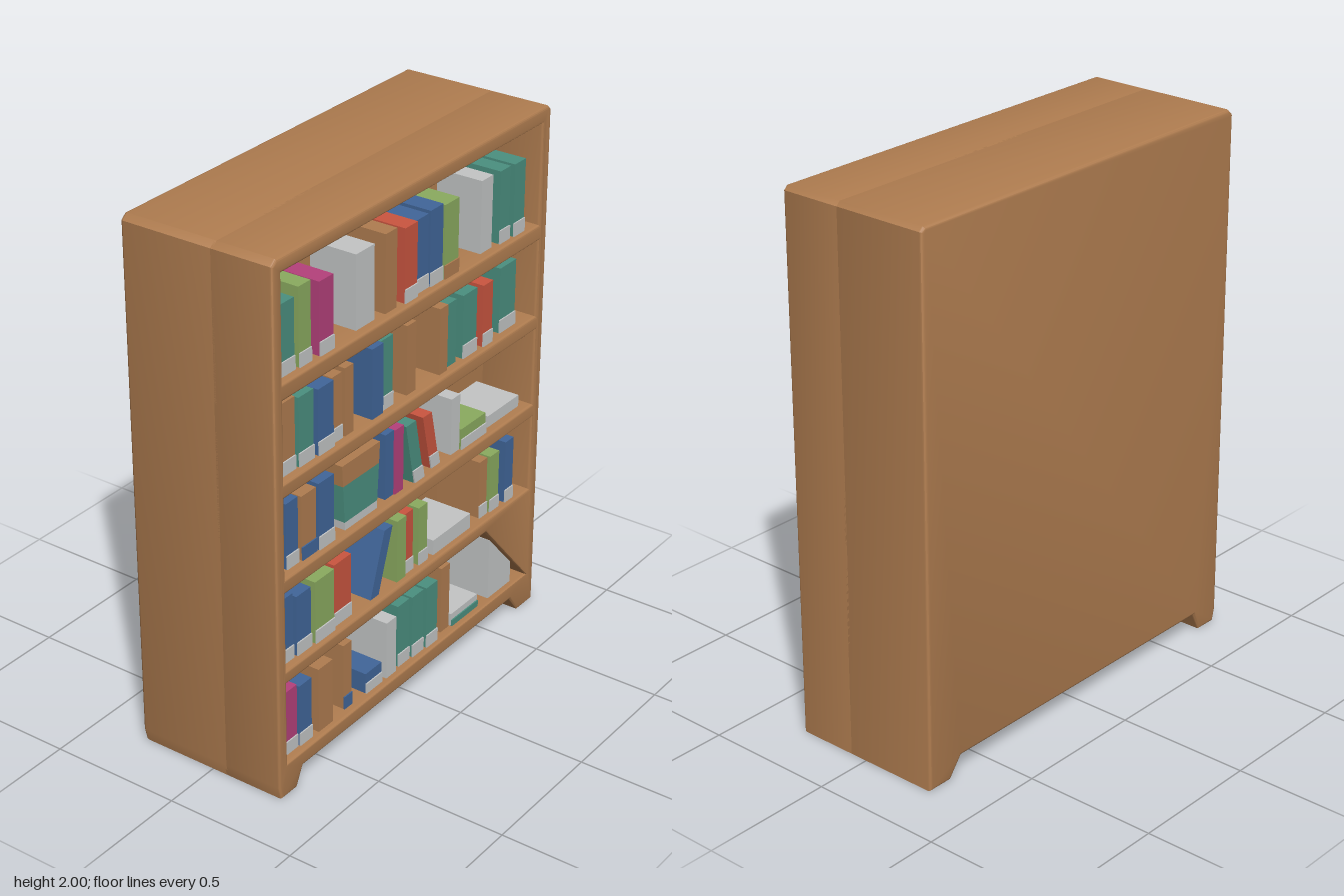
import * as THREE from 'three';
import { toCreasedNormals } from 'three/addons/utils/BufferGeometryUtils.js';

const mat = (name, color) => Object.assign(new THREE.MeshStandardMaterial({ color }), { name });

export function createModel() {
  const group = new THREE.Group();
  group.name = 'bookcase';
  const M = {
    wood: mat('wood', 0xb07d50), teal: mat('teal', 0x4b9080), blue: mat('blue', 0x41669a),
    pink: mat('magenta', 0xb5417c), red: mat('red', 0xcb5640), green: mat('green', 0x8bab60),
    white: mat('pale grey', 0xc4c6c6),
  };

  const polygon = (pts, Type = THREE.Shape) => new Type(pts.map(([u, y]) => new THREE.Vector2(u, y)));

  // Extrudes a shape drawn on the open side (u = -z, y up) from x0 to x1.
  function slab(name, shape, x0, x1, material, bevel = 0) {
    let geo = new THREE.ExtrudeGeometry(shape, {
      depth: x1 - x0 - 2 * bevel, bevelEnabled: bevel > 0, bevelThickness: bevel,
      bevelSize: bevel, bevelOffset: -bevel, bevelSegments: 3,
    });
    geo.translate(0, 0, x0 + bevel);
    geo.rotateY(Math.PI / 2);
    if (bevel) geo = toCreasedNormals(geo, 0.6);
    const mesh = new THREE.Mesh(geo, material);
    mesh.name = name;
    group.add(mesh);
  }

  // Case outline with tapered runner feet along both ends
  const outline = [
    [-0.775, 0.0], [-0.69, 0.0], [-0.655, 0.072], [0.63, 0.072], [0.685, 0.0], [0.785, 0.0],
    [0.785, 1.985], [0.77, 2.0], [-0.765, 2.0], [-0.787, 1.98], [-0.787, 0.05],
  ];
  slab('backBody', polygon(outline), -0.3, 0.08, M.wood, 0.012);

  // Front frame: five openings, the lowest with a slanted corner
  const openings = [[0.13, 0.45], [0.5, 0.8], [0.855, 1.155], [1.21, 1.505], [1.565, 1.945]];
  const frame = polygon(outline);
  openings.forEach(([lo, hi], i) => {
    const corner = i === 0 ? [[0.735, lo], [0.45, hi]] : [[0.735, lo], [0.735, hi]];
    frame.holes.push(polygon([[-0.74, lo], ...corner, [-0.74, hi]], THREE.Path));
  });
  slab('shelfFrame', frame, 0.05, 0.297, M.wood, 0.01);

  // Upright (or leaning) book in hundredths: left, right, height, colour, label colour, lean
  function book(base, [l, r, h, colour, label, lean = 0], depth) {
    const quad = (y0, y1) => polygon([[l, y0], [r, y0], [r, y1], [l, y1]].map(
      ([u, y]) => [(u + (lean * y) / h) / 100, base + y / 100]));
    slab('book', quad(0, h), 0.07, depth, M[colour]);
    if (label) slab('bookLabel', quad(0, Math.min(5, h * 0.5)), depth, depth + 0.005, M[label]);
  }
  const row = (level, books) => books.forEach((b, i) =>
    book(openings[level][0], b, 0.262 + 0.006 * (i % 3)));

  // Top shelf
  row(4, [
    [-73.5, -63.5, 25, 'teal', 'white'], [-62, -55.7, 28, 'green', 'white'],
    [-52, -44.6, 26, 'pink', 'white'], [-30.8, -20.7, 27, 'white'],
    [-15.4, -9, 28.5, 'wood'], [-5.3, 1.8, 27, 'red', 'white'],
    [2.1, 9.8, 26.5, 'blue', 'white'], [10.1, 17.5, 27.5, 'blue', 'white'],
    [17.6, 26, 27, 'green', 'wood'], [41.4, 48.3, 27, 'white'],
    [52, 58.3, 27, 'teal', 'white'], [60, 66.8, 27, 'teal', 'white'],
  ]);
  // Fourth shelf
  row(3, [
    [-73.7, -63.7, 26, 'wood', 'white'], [-62.6, -54.6, 25, 'teal', 'white'],
    [-53, -44.6, 24, 'blue', 'white'], [-44, -38.5, 24, 'wood', 'white'],
    [-37.6, -33, 25, 'wood'], [-23.3, -17, 26, 'blue'], [-17, -10, 26, 'teal', 'white'],
    [-2.6, 2.6, 26, 'wood'], [16, 20.7, 25, 'wood'], [21.7, 27.6, 24, 'teal'],
    [30.8, 39.3, 24, 'teal', 'white'], [42.4, 48.3, 23.5, 'red', 'white'],
    [54.6, 64.7, 25, 'teal', 'white'],
  ]);
  // Third shelf, with leaning and lying books
  row(2, [
    [-69, -62.6, 24.5, 'blue', 'white'], [-61.5, -53.6, 24, 'wood', 'blue'],
    [-53, -44.6, 25, 'blue', 'white'], [-13.8, -9, 25, 'blue'], [-9, -4, 25, 'pink'],
    [1.5, 7.4, 24, 'teal', 'white', -5], [13.3, 18.6, 22, 'red', 'white', -5],
    [25, 30.3, 22, 'white'], [30.4, 46, 8, 'green', 'white'], [49.3, 69.5, 4.5, 'white'],
  ]);
  // Second shelf
  row(1, [
    [-73.7, -65.8, 25, 'blue', 'white'], [-64.7, -56.8, 23, 'blue', 'white'],
    [-55.2, -44.6, 24, 'green', 'white'], [-43, -33.4, 24, 'red', 'white'],
    [-22.8, -18, 24, 'blue', '', 8], [-8, -2.7, 24.5, 'green'], [-2.1, 3.2, 24, 'red', 'white'],
    [5.8, 11.1, 23, 'green', 'white'], [14.3, 37.7, 6, 'white'], [45, 49.9, 23, 'wood', 'white'],
    [50.9, 56.8, 23, 'green', 'white'], [60, 65.3, 25, 'blue', 'white'],
  ]);
  // Bottom shelf
  row(0, [
    [-71, -64.2, 25, 'pink', 'white'], [-63.7, -56.8, 24, 'blue', 'white'],
    [-53.6, -45.6, 25.5, 'wood'], [-37.7, -33, 26, 'wood', 'blue'],
    [-25.5, -16, 8, 'blue', 'white'], [-13.8, -8, 23, 'white'],
    [-5.3, 1.6, 25, 'teal', 'white'], [2.6, 9.5, 25, 'teal', 'white'],
    [10.6, 17.5, 25, 'teal', 'white'], [21.7, 27, 27, 'wood'],
    [27.6, 44.6, 5, 'white', 'teal'], [51, 66, 25, 'white'],
  ]);

  // Tapered bin with a teal band and a pale base
  const bin = (y0, y1) => {
    const w = (y) => 0.165 + 0.12 * y;
    const c = -0.288;
    const b = openings[2][0];
    return polygon([[c - w(y0), b + y0], [c + w(y0), b + y0], [c + w(y1), b + y1], [c - w(y1), b + y1]]
      .map(([u, y]) => [c + (u - c) * 0.55, y]));
  };
  const binPart = (name, y0, y1, m) => slab(name, bin(y0, y1), 0.07, 0.27, m);
  binPart('binBase', 0, 0.03, M.white);
  binPart('binBand', 0.03, 0.17, M.teal);
  binPart('binRim', 0.17, 0.25, M.wood);

  return group;
}
